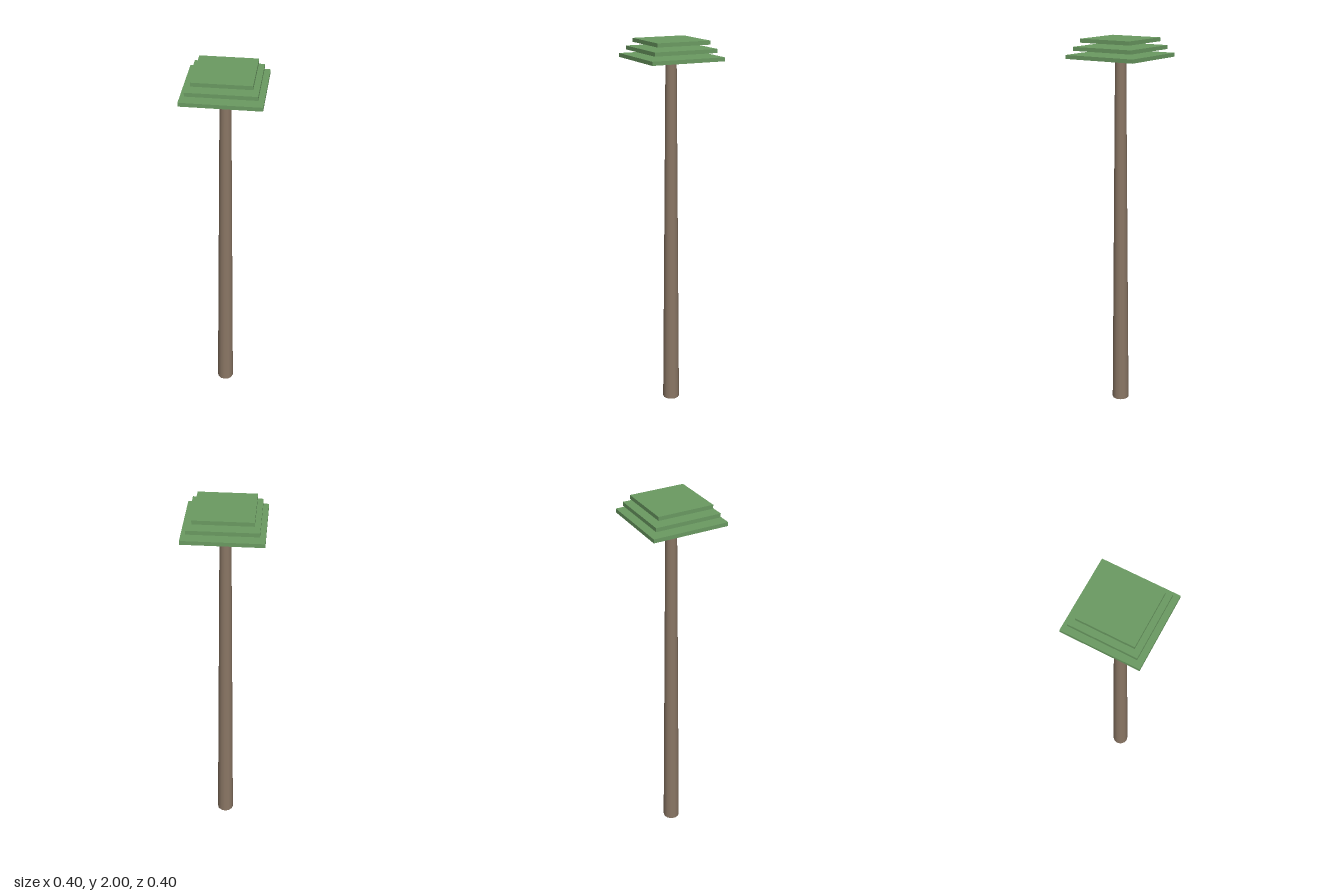
import * as THREE from 'three';

export function createModel() {
  const model = new THREE.Group();
  const bark = new THREE.MeshStandardMaterial({ color: 0x8b7765, side: THREE.DoubleSide });
  const leaf = new THREE.MeshStandardMaterial({ color: 0x6b9b62 });

  // Tall tapering trunk, an open tube
  const trunkHeight = 1.88;
  const trunk = new THREE.Mesh(
    new THREE.CylinderGeometry(0.029, 0.045, trunkHeight, 12, 1, true), bark);
  trunk.name = 'trunk';
  trunk.position.y = trunkHeight / 2;
  model.add(trunk);

  // Three square slabs of foliage, floating and shrinking upwards
  const canopy = new THREE.Group();
  canopy.name = 'canopy';
  const thickness = 0.02;
  for (let i = 0; i < 3; i++) {
    const width = 0.402 - i * 0.0535;
    const slab = new THREE.Mesh(new THREE.BoxGeometry(width, thickness, width), leaf);
    slab.name = `foliageSlab${i + 1}`;
    slab.position.y = 1.91 + i * 0.04;
    canopy.add(slab);
  }
  model.add(canopy);

  return model;
}
